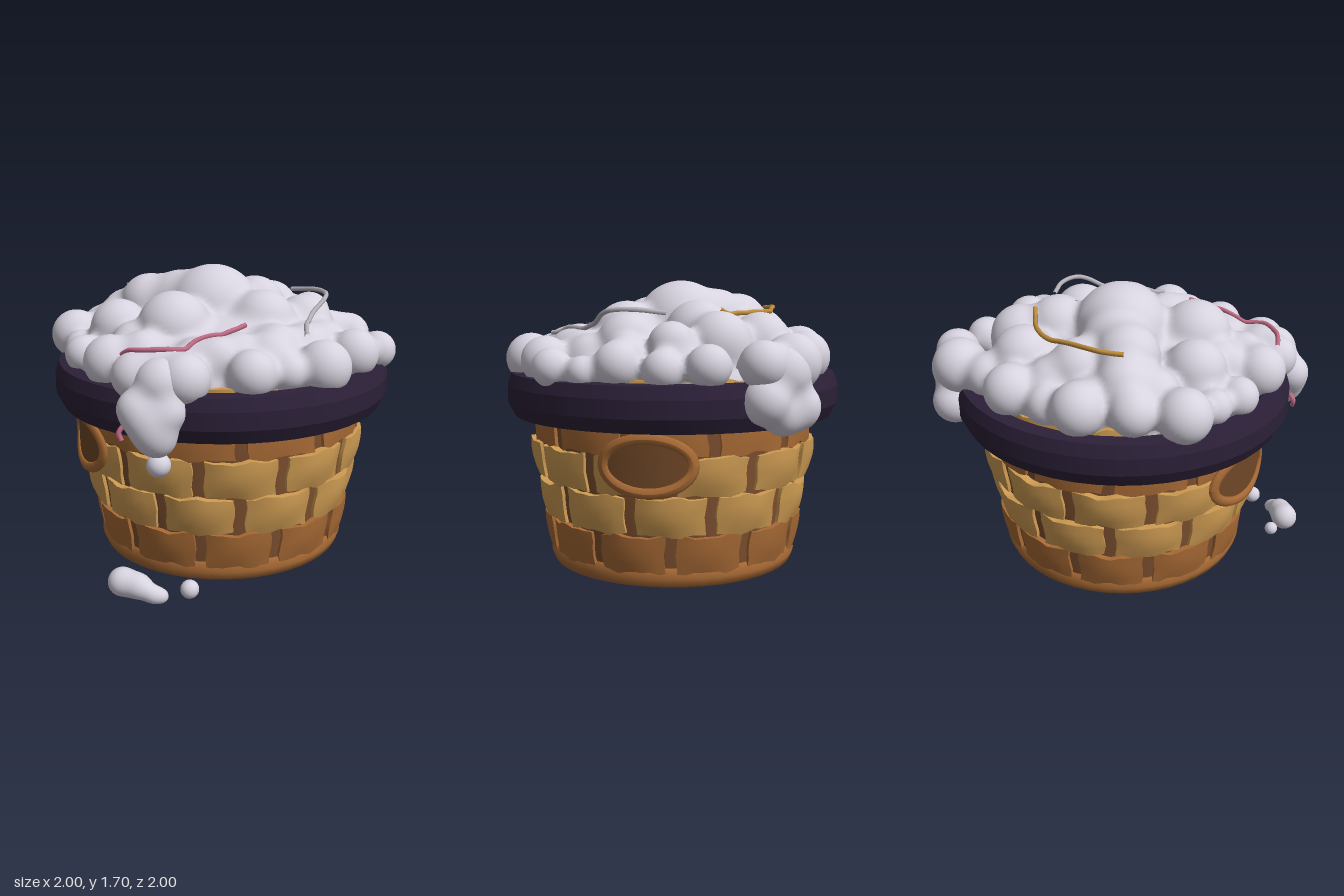
import * as THREE from 'three';

const mat = (name, color, side = THREE.FrontSide) => {
  const m = new THREE.MeshStandardMaterial({ color, side });
  m.name = name;
  return m;
};
const wallRadius = (y) => 0.715 + 0.14 * Math.min(y, 0.75);

// Pile lumps: x, y, z, radius
const ringLumps = [
  [-0.3, 1.26, -0.76, 0.15], [-0.08, 1.22, -0.76, 0.12], [0.15, 1.25, -0.8, 0.15], [0.4, 1.24, -0.72, 0.13],
  [0.61, 1.25, -0.74, 0.16], [0.78, 1.25, -0.6, 0.13], [0.82, 1.24, -0.32, 0.12], [0.83, 1.22, -0.08, 0.11],
  [0.79, 1.24, 0.17, 0.13], [0.76, 1.22, 0.54, 0.11], [0.8, 1.2, 0.36, 0.09], [0.54, 1.24, 0.64, 0.14],
  [0.24, 1.23, 0.82, 0.15], [0.03, 1.22, 0.8, 0.1], [-0.18, 1.23, 0.8, 0.13], [-0.53, 1.22, 0.72, 0.14],
  [-0.78, 1.24, 0.27, 0.15], [-0.84, 1.22, -0.05, 0.11], [-0.77, 1.25, -0.47, 0.15], [-0.55, 1.26, -0.62, 0.13],
  [-0.8, 1.22, -0.24, 0.1], [-0.73, 1.22, 0.54, 0.13],
];
const crownLumps = [
  [-0.03, 1.41, -0.05, 0.28], [-0.16, 1.42, -0.24, 0.22], [-0.32, 1.43, -0.37, 0.18], [-0.38, 1.38, 0.2, 0.21],
  [0.32, 1.39, -0.2, 0.19], [0.5, 1.34, -0.34, 0.18], [0.15, 1.37, 0.25, 0.2], [0.46, 1.33, 0.18, 0.18],
  [0.08, 1.28, 0.56, 0.15], [-0.38, 1.23, 0.54, 0.16], [-0.1, 1.35, -0.52, 0.17], [0.28, 1.33, -0.55, 0.18],
  [-0.42, 1.34, -0.52, 0.16], [-0.6, 1.34, -0.12, 0.17], [0.36, 1.25, 0.47, 0.15], [-0.62, 1.28, 0.34, 0.13],
  [0.66, 1.34, -0.1, 0.13], [-0.17, 1.28, 0.6, 0.13], [-0.6, 1.23, 0.58, 0.14], [0, 1.1, 0, 0.17],
];
const shoulderLumps = Array.from({ length: 14 }, (_, i) => {
  const a = i / 14 * Math.PI * 2, r = 0.66 + 0.04 * Math.sin(5 * i);
  return [r * Math.sin(a), 1.27 + 0.03 * Math.sin(3 * i), r * Math.cos(a), 0.12 + 0.02 * Math.cos(7 * i)];
});

// Smoothly blended distance to a set of lumps, optionally with a low dome under them
function blobField(lumps, dome, k = 0.06) {
  return (p) => {
    let d = 10;
    if (dome) {
      const h = p.y - 1.1, ry = h > 0 ? 0.36 : 0.15;
      const a = Math.hypot(p.x / 0.82, h / ry, p.z / 0.82);
      const b = Math.hypot(p.x / 0.67, h / (ry * ry), p.z / 0.67);
      d = b < 1e-6 ? -0.15 : a * (a - 1) / b;
    }
    for (const [x, y, z, r] of lumps) {
      const s = Math.hypot(p.x - x, p.y - y, p.z - z) - r;
      const h = Math.max(k - Math.abs(d - s), 0) / k;
      d = Math.min(d, s) - h * h * k * 0.25;
    }
    return d;
  };
}

// Skin of a blended field: one point per surface cell, joined in quads
function blobGeometry(lumps, dome, cell) {
  const field = blobField(lumps, dome);
  const box = new THREE.Box3();
  for (const [x, y, z, r] of lumps) box.union(new THREE.Box3().setFromCenterAndSize(
    new THREE.Vector3(x, y, z), new THREE.Vector3().setScalar(2 * r)));
  box.expandByScalar(3 * cell);
  const [nx, ny, nz] = box.getSize(new THREE.Vector3()).toArray().map((s) => Math.ceil(s / cell));
  const stride = [ny * nz, nz, 1];
  const at = (id, shift) => new THREE.Vector3(Math.floor(id / stride[0]), Math.floor(id / nz) % ny, id % nz)
    .addScalar(shift).multiplyScalar(cell).add(box.min);
  const values = Array.from({ length: nx * ny * nz }, (_, id) => field(at(id, 0)));
  const slope = (p) => new THREE.Vector3(...['x', 'y', 'z'].map((axis) => {
    const a = p.clone(), b = p.clone();
    a[axis] += 0.004;
    b[axis] -= 0.004;
    return field(a) - field(b);
  })).normalize();
  const positions = [], normals = [], index = [], known = new Map();
  const vertex = (id) => {
    if (!known.has(id)) {
      const p = at(id, 0.5);
      for (let i = 0; i < 4; i++) p.addScaledVector(slope(p), -0.9 * field(p));
      known.set(id, positions.length / 3);
      positions.push(...p.toArray());
      normals.push(...slope(p).toArray());
    }
    return known.get(id);
  };
  values.forEach((v, id) => stride.forEach((s, axis) => {
    const inside = v < 0;
    if (inside === values[id + s] < 0) return;
    const b = stride[(axis + 1) % 3], c = stride[(axis + 2) % 3];
    const quad = [id, id - b, id - b - c, id - c].map(vertex);
    if (!inside) quad.reverse();
    index.push(quad[0], quad[1], quad[2], quad[0], quad[2], quad[3]);
  }));
  const geo = new THREE.BufferGeometry();
  geo.setAttribute('position', new THREE.Float32BufferAttribute(positions, 3));
  geo.setAttribute('normal', new THREE.Float32BufferAttribute(normals, 3));
  geo.setIndex(index);
  return geo;
}

// One bulging woven strip, bent round the basket
function strandGeometry(angle, span, y0, y1, bulge, seed) {
  const geo = new THREE.BoxGeometry(1, 1, 1, 8, 4, 1);
  const pos = geo.attributes.position;
  for (let i = 0; i < pos.count; i++) {
    const u = pos.getX(i), v = pos.getY(i), outer = pos.getZ(i) > 0;
    const wave = 0.008 * Math.sin(u * 9 + seed * 2.7) + 0.006 * Math.sin(u * 17 + seed);
    const y = y0 + (y1 - y0) * (v + 0.5) + wave * 2 * v;
    const a = angle + span * u + 0.008 * Math.sin(v * 7 + seed * 1.9);
    const swell = Math.cos(Math.PI * u) * (1 - 1.8 * v * v + 0.4 * v);
    const r = wallRadius(y) + (outer ? 0.018 + bulge * swell : -0.016);
    pos.setXYZ(i, r * Math.sin(a), y, r * Math.cos(a));
  }
  geo.computeVertexNormals();
  return geo;
}

export function createModel() {
  const model = new THREE.Group();
  model.name = 'basketOfFluff';
  const fluff = mat('fluff', 0xd6d2de);
  const gold = mat('goldenReed', 0xcf9c53);
  const brown = mat('brownReed', 0xa86a35);
  const stake = mat('darkStake', 0x7f5130, THREE.DoubleSide);
  const rimMat = mat('plumRim', 0x2c2038);
  const panel = mat('handlePanel', 0x704727, THREE.DoubleSide);
  const pink = mat('pinkThread', 0xc46c88);
  const amber = mat('amberThread', 0xbe8d3c);
  const grey = mat('greyThread', 0xb6b3bb);
  const add = (name, geo, material, parent = model) => {
    const mesh = new THREE.Mesh(geo, material);
    mesh.name = name;
    parent.add(mesh);
    return mesh;
  };
  const lathe = (points, n) => new THREE.LatheGeometry(points.map((p) => new THREE.Vector2(...p)), n);

  // Basket wall, seen between the strips
  add('stakeWall', lathe([0.06, 0.75, 1.15].map((y) => [wallRadius(y), y]), 44), stake);

  // Woven rows, each shifted half a strip
  const weave = new THREE.Group();
  weave.name = 'weave';
  model.add(weave);
  const count = 11, step = Math.PI * 2 / count;
  const rows = [
    [0.09, 0.3, 0.022, brown], [0.31, 0.525, 0.036, gold], [0.535, 0.75, 0.038, gold],
    [0.76, 0.95, 0.012, brown], [0.96, 1.165, 0.03, gold],
  ];
  rows.forEach(([y0, y1, bulge, material], row) => {
    for (let i = 0; i < count; i++) {
      const angle = step * (i + (row % 2 ? 0.5 : 0) + 0.5);
      add('strip', strandGeometry(angle, step - 0.085, y0, y1, bulge, row * 13 + i * 3), material, weave);
    }
  });

  // Base hoop
  add('baseHoop', lathe([[0.68, 0.11], [0.67, 0.06], [0.68, 0.015], [0.735, 0.01], [0.755, 0.06],
    [0.74, 0.11], [0.72, 0.125], [0.68, 0.11]], 48), brown);

  // Rim with flat bevelled bands
  const rim = [[0.85, 0.9], [0.96, 0.9], [1.0, 0.98], [1.0, 1.08], [0.975, 1.15], [0.89, 1.155], [0.85, 1.12], [0.85, 0.9]];
  for (let i = 0; i < rim.length - 1; i++) add('rimBand', lathe([rim[i], rim[i + 1]], 48), rimMat);

  // Flat oval side handles with panels, wrapped to the wall
  const oval = new THREE.CatmullRomCurve3(Array.from({ length: 24 }, (_, i) => {
    const a = i / 24 * Math.PI * 2;
    return new THREE.Vector3(0, 0.715 + 0.147 * Math.sin(a), -0.247 * Math.cos(a));
  }), true);
  for (const side of [1, -1]) {
    const wrap = (geo) => {
      const pos = geo.attributes.position;
      for (let i = 0; i < pos.count; i++) {
        const x = pos.getX(i), z = pos.getZ(i);
        pos.setXYZ(i, side * (0.878 - 0.7 * z * z) + x * 0.6, pos.getY(i), z);
      }
      geo.computeVertexNormals();
      return geo;
    };
    add('handleRing', wrap(new THREE.TubeGeometry(oval, 48, 0.03, 8, true)), brown);
    const disc = new THREE.RingGeometry(0.001, 1, 32, 4).scale(0.247, 0.147, 1);
    add('handlePanel', wrap(disc.rotateY(side * Math.PI / 2).translate(0, 0.715, 0)), panel);
  }

  // Main pile
  const pileLumps = [...ringLumps, ...crownLumps, ...shoulderLumps];
  add('fluffPile', blobGeometry(pileLumps, true, 0.024), fluff);

  // Tufts spilling over the rim, and crumbs on the ground
  const frontSpill = [[-0.64, 1.2, 0.68, 0.14], [-0.77, 1.08, 0.68, 0.11], [-0.64, 1.07, 0.76, 0.1],
    [-0.72, 1.0, 0.73, 0.12], [-0.69, 0.93, 0.74, 0.1]];
  const backSpill = [[0.68, 1.2, -0.69, 0.16], [0.79, 1.06, -0.62, 0.13], [0.65, 1.02, -0.77, 0.13], [0.72, 0.97, -0.7, 0.1]];
  const crumb = [[-0.86, 0.09, 0.61, 0.08], [-0.79, 0.08, 0.68, 0.07], [-0.73, 0.045, 0.74, 0.045], [-0.68, 0.03, 0.75, 0.03]];
  add('frontSpill', blobGeometry(frontSpill, false, 0.02), fluff);
  add('backSpill', blobGeometry(backSpill, false, 0.02), fluff);
  add('largeCrumb', blobGeometry(crumb, false, 0.012), fluff);
  for (const [x, y, z, r] of [[-0.68, 0.78, 0.73, 0.065], [-0.53, 0.05, 0.77, 0.052], [-0.83, 0.045, 0.5, 0.04]]) {
    add('smallTuft', new THREE.SphereGeometry(r, 20, 14), fluff).position.set(x, y, z);
  }

  // Threads lying on the pile, lifted wherever a lump is higher
  const pile = blobField(pileLumps, true);
  const drape = (name, path, material) => {
    const line = new THREE.CatmullRomCurve3(path.map((p) => new THREE.Vector3(...p)));
    const points = line.getSpacedPoints(14).map((p) => {
      const top = p.clone().setY(1.8);
      while (pile(top) > 0.008 && top.y > p.y) top.y -= 0.004;
      return top;
    });
    add(name, new THREE.TubeGeometry(new THREE.CatmullRomCurve3(points), 70, 0.014, 7), material);
  };
  drape('pinkThread', [[-0.78, 1.31, 0.47], [-0.72, 1.36, 0.56], [-0.58, 1.37, 0.64], [-0.4, 1.35, 0.59],
    [-0.25, 1.41, 0.59], [-0.1, 1.44, 0.55]], pink);
  drape('amberThread', [[-0.42, 1.52, -0.53], [-0.3, 1.53, -0.59], [-0.1, 1.52, -0.59], [0.06, 1.51, -0.59],
    [0.2, 1.51, -0.52], [0.39, 1.5, -0.33]], amber);
  drape('greyThread', [[0.5, 1.51, -0.04], [0.57, 1.53, 0.12], [0.56, 1.52, 0.28], [0.4, 1.44, 0.4],
    [0.28, 1.39, 0.55], [0.2, 1.38, 0.7]], grey);
  const tail = [[-0.82, 0.98, 0.6], [-0.85, 0.94, 0.6], [-0.84, 0.9, 0.61]].map((p) => new THREE.Vector3(...p));
  add('pinkThreadTail', new THREE.TubeGeometry(new THREE.CatmullRomCurve3(tail), 8, 0.014, 7), pink);

  return model;
}
